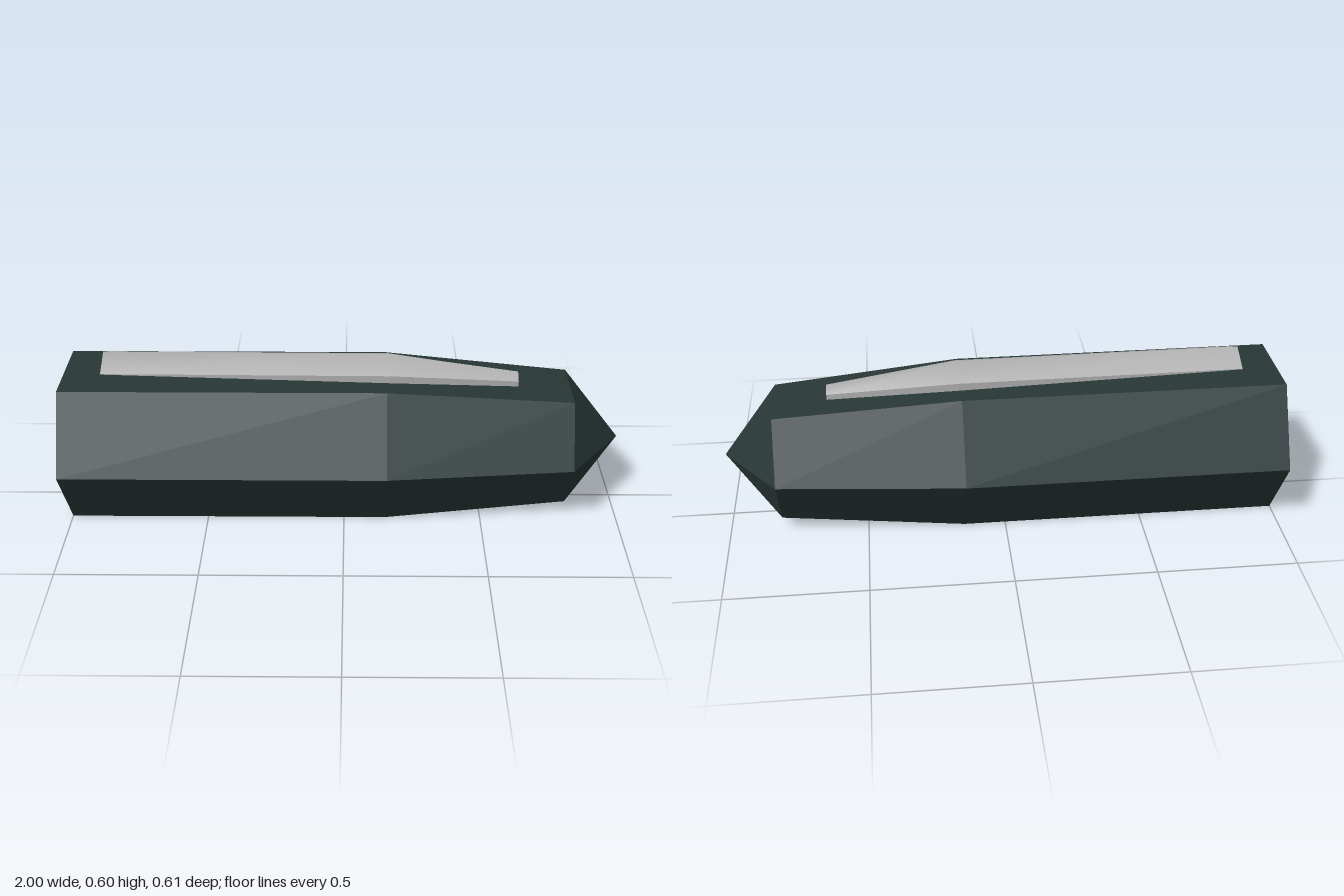
import * as THREE from 'three';

const CENTER_Y = 0.264;

// Flat-faced copy of a geometry
function faceted(geometry) {
  const g = geometry.toNonIndexed();
  g.computeVertexNormals();
  return g;
}

// Sections of the clip along x: half width, ridge, shoulder and bottom heights
const SECTIONS = [
  { x: -0.855, w: 0.086, ridge: 0.605, shoulder: 0.562, bottom: 0.56 },
  { x: 0.16, w: 0.086, ridge: 0.6, shoulder: 0.558, bottom: 0.53 },
  { x: 0.62, w: 0.034, ridge: 0.532, shoulder: 0.51, bottom: 0.49 },
];

// Strip of quads joining one line of points per section
function loft(pointsOf) {
  const rows = SECTIONS.map(pointsOf);
  const n = rows[0].length;
  const index = [];
  for (let i = 0; i < rows.length - 1; i++) {
    for (let j = 0; j < n - 1; j++) {
      const a = i * n + j, b = a + 1, c = a + n, d = c + 1;
      index.push(a, b, c, b, d, c);
    }
  }
  const g = new THREE.BufferGeometry();
  g.setAttribute('position', new THREE.Float32BufferAttribute(rows.flat(2), 3));
  g.setIndex(index);
  g.computeVertexNormals();
  return g;
}

// Flat pentagon closing one end of the clip
function endPlate(s, facing) {
  const shape = new THREE.Shape([
    new THREE.Vector2(-s.w, s.bottom),
    new THREE.Vector2(s.w, s.bottom),
    new THREE.Vector2(s.w, s.shoulder),
    new THREE.Vector2(0, s.ridge),
    new THREE.Vector2(-s.w, s.shoulder),
  ]);
  const g = new THREE.ShapeGeometry(shape);
  g.rotateY(facing * Math.PI / 2);
  g.translate(s.x, 0, 0);
  return g;
}

export function createModel() {
  const group = new THREE.Group();
  const darkPlastic = new THREE.MeshStandardMaterial({ color: 0x283737 });
  darkPlastic.name = 'darkPlastic';
  const greyMetal = new THREE.MeshStandardMaterial({ color: 0xb2b2b2 });
  greyMetal.name = 'greyMetal';

  const add = (parent, name, geometry, material) => {
    const mesh = new THREE.Mesh(geometry, material);
    mesh.name = name;
    parent.add(mesh);
  };

  // Hollow six-sided cap: cavity, rim, barrel, taper and pointed tip
  const profile = [
    [0, 0.76], [0.19, 0.76], [0.245, 0.14], [0.245, -1],
    [0.304, -1], [0.304, 0.15], [0.242, 0.81], [0, 1],
  ].map(([r, y]) => new THREE.Vector2(r, y));
  const body = new THREE.LatheGeometry(profile, 6);
  body.rotateZ(-Math.PI / 2);
  body.translate(0, CENTER_Y, 0);
  add(group, 'capBody', faceted(body), darkPlastic);

  // Clip lying along the top
  const clip = new THREE.Group();
  clip.name = 'clip';
  group.add(clip);

  add(clip, 'clipRoof', loft(s => [
    [s.x, s.shoulder, -s.w], [s.x, s.ridge, 0], [s.x, s.shoulder, s.w],
  ]), greyMetal);
  add(clip, 'clipFrontSide', faceted(loft(s => [
    [s.x, s.shoulder, s.w], [s.x, s.bottom, s.w],
  ])), greyMetal);
  add(clip, 'clipBackSide', faceted(loft(s => [
    [s.x, s.bottom, -s.w], [s.x, s.shoulder, -s.w],
  ])), greyMetal);
  add(clip, 'clipUnderside', faceted(loft(s => [
    [s.x, s.bottom, s.w], [s.x, s.bottom, -s.w],
  ])), greyMetal);
  add(clip, 'clipTailPlate', endPlate(SECTIONS[0], -1), darkPlastic);
  add(clip, 'clipTipPlate', endPlate(SECTIONS[2], 1), darkPlastic);

  return group;
}
